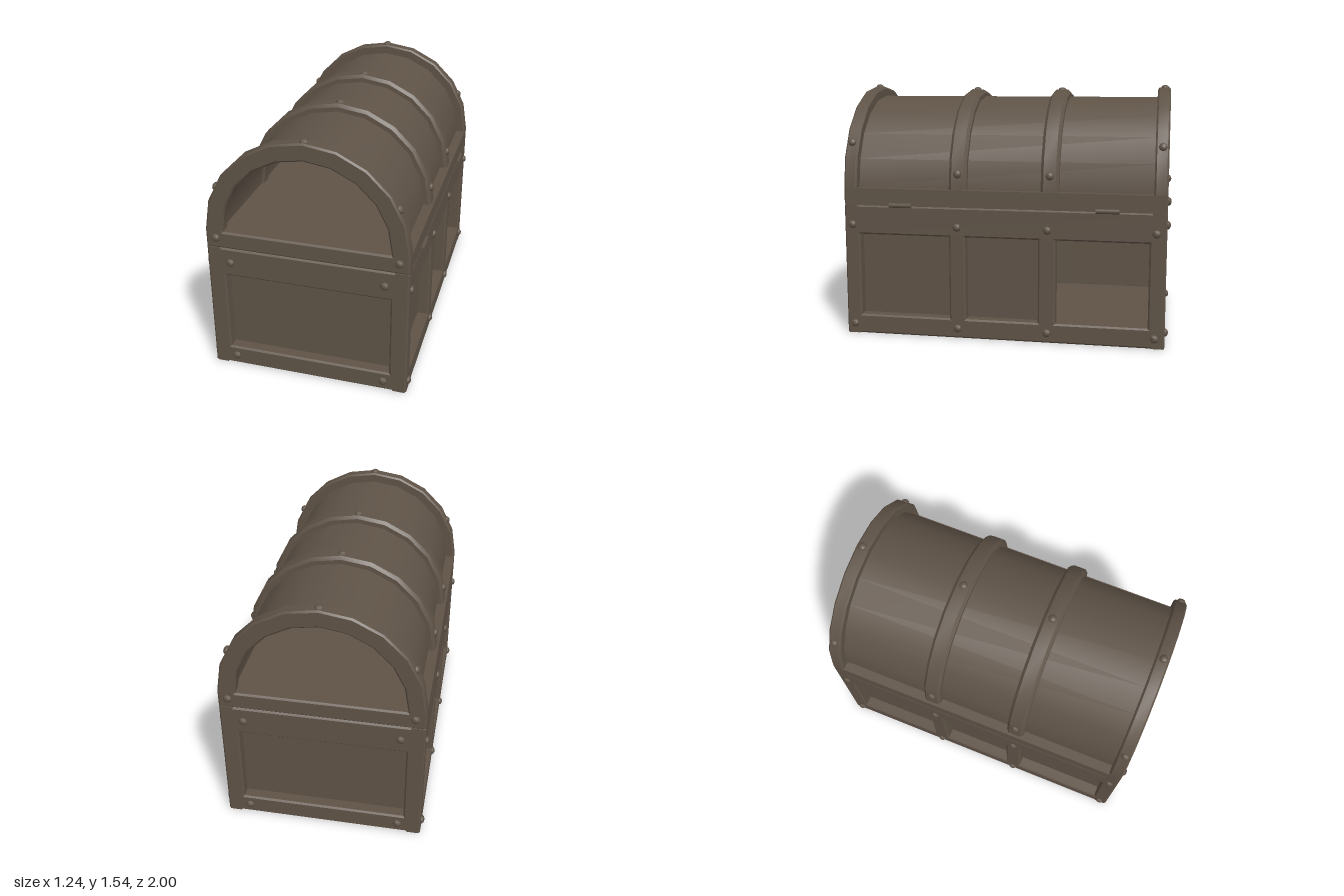
import * as THREE from 'three';
import { toCreasedNormals } from 'three/addons/utils/BufferGeometryUtils.js';

const wood = new THREE.MeshStandardMaterial({ color: 0x5f5347 });
wood.name = 'darkWood';

const W = 0.6, L = 0.98, BASE_H = 0.81, ARCH_Y = 0.92;

function add(parent, name, geometry) {
  const mesh = new THREE.Mesh(geometry, wood);
  mesh.name = name;
  parent.add(mesh);
  return mesh;
}

function rect(path, x0, x1, y0, y1) {
  path.moveTo(x0, y0);
  path.lineTo(x1, y0);
  path.lineTo(x1, y1);
  path.lineTo(x0, y1);
  path.closePath();
  return path;
}

// Chamfered extrusion that keeps the drawn outline, spanning z = 0 .. depth
function slab(shape, depth, bevel) {
  const geo = new THREE.ExtrudeGeometry(shape, {
    depth: depth - 2 * bevel, bevelEnabled: true, bevelSegments: 1,
    bevelSize: bevel, bevelThickness: bevel, bevelOffset: -bevel,
  });
  geo.translate(0, 0, bevel);
  return toCreasedNormals(geo, 0.5);
}

// Half ring of ten straight segments with short feet sunk into the lid base
function archShape(outer, inner) {
  const pts = [];
  const ring = (r, i) => {
    const a = (i * Math.PI) / 10;
    return new THREE.Vector2(r * Math.cos(a), ARCH_Y + r * Math.sin(a));
  };
  pts.push(new THREE.Vector2(outer, 0.88));
  for (let i = 0; i <= 10; i++) pts.push(ring(outer, i));
  pts.push(new THREE.Vector2(-outer, 0.88), new THREE.Vector2(-inner, 0.88));
  for (let i = 10; i >= 0; i--) pts.push(ring(inner, i));
  pts.push(new THREE.Vector2(inner, 0.88));
  return new THREE.Shape(pts);
}

function arch(parent, name, outer, inner, z0, z1, bevel) {
  add(parent, name, slab(archShape(outer, inner), z1 - z0, bevel)).position.z = z0;
}

// One wall: a frame with openings and recessed panels; local +z faces out
function wall(name, half, openings, missing = -1) {
  const group = new THREE.Group();
  group.name = name;
  const shape = rect(new THREE.Shape(), -half, half, 0, BASE_H);
  for (const [a, b] of openings) shape.holes.push(rect(new THREE.Path(), a, b, 0.12, 0.63));
  add(group, 'frame', slab(shape, 0.09, 0.01)).position.z = -0.09;
  openings.forEach(([a, b], i) => {
    if (i === missing) return;
    const panel = add(group, 'panel', new THREE.BoxGeometry(b - a + 0.04, 0.55, 0.02));
    panel.position.set((a + b) / 2, 0.375, -0.08);
  });
  return group;
}

const rivetGeo = new THREE.SphereGeometry(0.026, 8, 4, 0, Math.PI * 2, 0, Math.PI / 2);
rivetGeo.scale(1, 0.75, 1);

function rivet(parent, x, y, z, nx, ny, nz) {
  const mesh = add(parent, 'rivet', rivetGeo);
  mesh.position.set(x, y, z);
  mesh.quaternion.setFromUnitVectors(
    new THREE.Vector3(0, 1, 0), new THREE.Vector3(nx, ny, nz).normalize());
}

export function createModel() {
  const chest = new THREE.Group();
  chest.name = 'chest';
  const base = new THREE.Group();
  base.name = 'base';
  const lid = new THREE.Group();
  lid.name = 'lid';
  const rivets = new THREE.Group();
  rivets.name = 'rivets';
  chest.add(base, lid, rivets);

  // Walls, with one opening left empty on the left side
  const spans = [[-0.88, -0.33], [-0.225, 0.22], [0.32, 0.885]];
  const front = wall('frontWall', W, [[-0.495, 0.495]]);
  front.position.z = L;
  const back = wall('backWall', W, [[-0.495, 0.495]]);
  back.position.z = -L;
  back.rotation.y = Math.PI;
  const left = wall('leftWall', L, spans.map(([a, b]) => [-b, -a]), 0);
  left.position.x = W;
  left.rotation.y = Math.PI / 2;
  const right = wall('rightWall', L, spans);
  right.position.x = -W;
  right.rotation.y = -Math.PI / 2;
  base.add(front, back, left, right);
  add(base, 'floor', new THREE.BoxGeometry(1.18, 0.09, 1.94)).position.y = 0.045;

  // Lid base, barrel and arches
  const plate = slab(rect(new THREE.Shape(), -W, W, BASE_H, ARCH_Y - 0.005), 2 * L, 0.01);
  add(lid, 'lidBase', plate).position.z = -L;
  arch(lid, 'barrel', 0.54, 0.515, -0.93, 0.93, 0.002);
  arch(lid, 'frontArch', W, 0.495, 0.9, L, 0.01);
  arch(lid, 'backArch', W, 0.495, -L, -0.9, 0.01);
  for (const z of [0.27, -0.29]) arch(lid, 'band', 0.585, 0.5, z - 0.055, z + 0.055, 0.018);

  // Hinges
  for (const z of [0.62, -0.635]) {
    const geo = new THREE.CylinderGeometry(0.014, 0.014, 0.14, 8);
    geo.rotateX(Math.PI / 2);
    add(lid, 'hinge', geo).position.set(0.607, 0.815, z);
  }

  // Rivets, mirrored over both sides and both ends
  const a = Math.PI * 0.15, ra = W * Math.cos(Math.PI / 20);
  const b = Math.PI * 0.05, rb = 0.585 * Math.cos(Math.PI / 20);
  for (const s of [1, -1]) {
    for (const z of [0.93, 0.27, -0.28, -0.92])
      for (const y of [0.69, 0.062]) rivet(rivets, s * W, y, z, s, 0, 0);
    for (const e of [1, -1]) {
      rivet(rivets, s * 0.46, 0.72, e * L, 0, 0, e);
      rivet(rivets, s * 0.46, 0.062, e * L, 0, 0, e);
      rivet(rivets, s * 0.54, 0.875, e * L, 0, 0, e);
      rivet(rivets, s * ra * Math.cos(a), ARCH_Y + ra * Math.sin(a), e * 0.943,
        s * Math.cos(a), Math.sin(a), 0);
    }
    for (const z of [0.27, -0.29])
      rivet(rivets, s * rb * Math.cos(b), ARCH_Y + rb * Math.sin(b), z,
        s * Math.cos(b), Math.sin(b), 0);
  }
  for (const z of [0.943, -0.943]) rivet(rivets, 0, 1.517, z, 0, 1, 0);
  for (const z of [0.27, -0.29]) rivet(rivets, 0, 1.5, z, 0, 1, 0);

  return chest;
}
